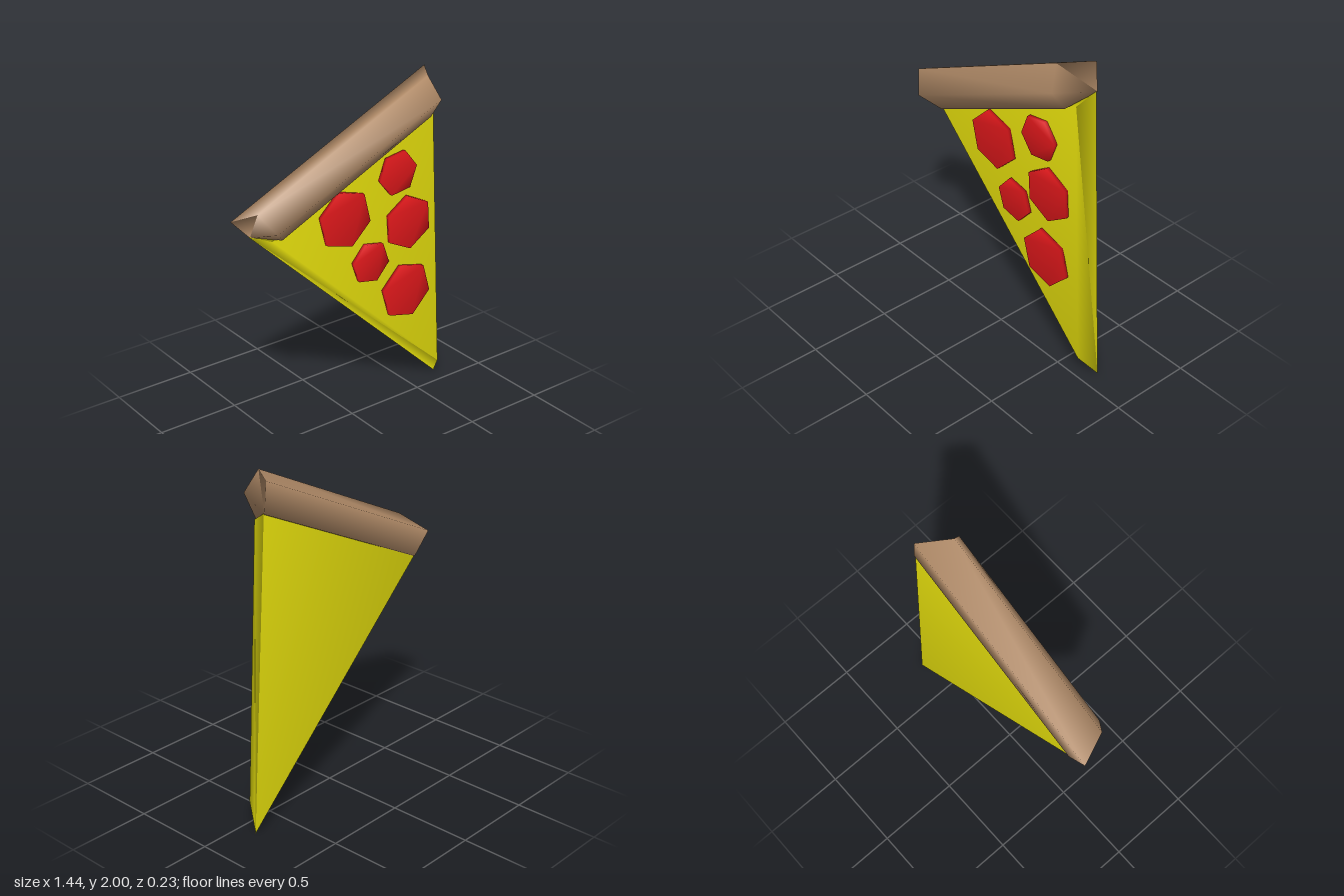
import * as THREE from 'three';

// Closed solid between two matching rings; rings run counter-clockwise seen from ring b's side.
// Corners are shared, so the normals are smooth.
function loft(name, a, b, color) {
  const n = a.length;
  const index = [];
  for (let i = 0; i < n; i++) {
    const j = (i + 1) % n;
    index.push(i, j, n + j, i, n + j, n + i);
  }
  for (let i = 1; i < n - 1; i++) {
    index.push(0, i + 1, i, n, n + i, n + i + 1);
  }
  const geometry = new THREE.BufferGeometry();
  geometry.setAttribute('position', new THREE.Float32BufferAttribute([...a, ...b].flat(), 3));
  geometry.setIndex(index);
  geometry.computeVertexNormals();
  const mesh = new THREE.Mesh(geometry, new THREE.MeshStandardMaterial({ color }));
  mesh.name = name;
  return mesh;
}

export function createModel() {
  const model = new THREE.Group();
  model.name = 'pizzaSlice';

  // Cheese wedge: wide back triangle, slightly smaller front triangle
  const back = [[0.72, 0.005], [0.61, 1.83], [-0.61, 1.27]].map(([x, y]) => [x, y, -0.108]);
  const front = [[0.66, 0.14], [0.575, 1.765], [-0.53, 1.26]].map(([x, y]) => [x, y, -0.004]);
  model.add(loft('cheese', back, front, 0xe6df0c));

  // Crust: five-sided bar with slanted ends, built level and then tilted
  // Each row: height, depth, left end, right end
  const profile = [
    [1.398, -0.115, -0.011, 1.327],
    [1.56, -0.115, -0.066, 1.385],
    [1.61, 0.055, 0.024, 1.281],
    [1.472, 0.12, 0.048, 1.267],
    [1.358, 0.03, 0.093, 1.218],
  ];
  const crust = loft(
    'crust',
    profile.map(([y, z, left]) => [left, y, z]),
    profile.map(([y, z, , right]) => [right, y, z]),
    0xb08a67,
  );
  crust.rotation.z = THREE.MathUtils.degToRad(25);
  model.add(crust);

  // Pepperoni: thin hexagons; x, y, radius, turn in degrees
  const toppings = [
    [-0.055, 1.268, 0.177, 44],
    [0.315, 1.455, 0.132, 9],
    [0.397, 1.135, 0.166, 34],
    [0.125, 0.957, 0.128, 49],
    [0.388, 0.705, 0.177, 46],
  ];
  const pepperoni = new THREE.Group();
  pepperoni.name = 'pepperoni';
  for (const [x, y, r, turn] of toppings) {
    const ring = (z) => Array.from({ length: 6 }, (_, i) => {
      const t = THREE.MathUtils.degToRad(turn + i * 60);
      return [x + r * Math.cos(t), y + r * Math.sin(t), z];
    });
    pepperoni.add(loft('pepperoniPiece', ring(-0.015), ring(0.018), 0xe0181b));
  }
  model.add(pepperoni);

  return model;
}
